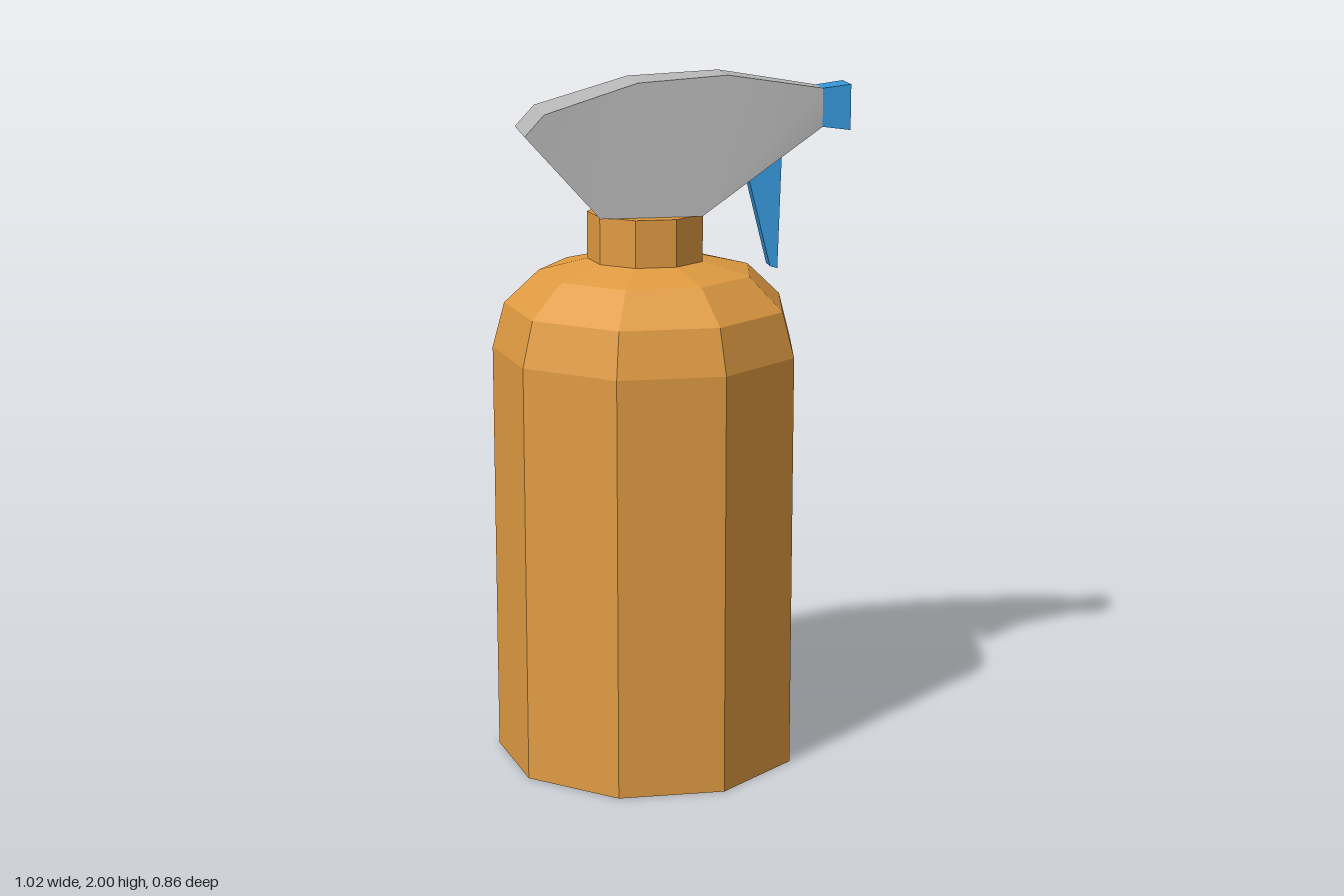
import * as THREE from 'three';
import { mergeGeometries } from 'three/addons/utils/BufferGeometryUtils.js';

const Z = 0.012; // centre plane of the whole sprayer in z

// Indexed or unshared triangles with computed normals
function surface(points, index) {
  const g = new THREE.BufferGeometry();
  g.setAttribute('position', new THREE.Float32BufferAttribute(points.flat(), 3));
  g.setIndex(index);
  return g;
}

// Tapered slab: counter-clockwise profile rows are [x, y, halfWidth, zShift]
function slab(profile, faces) {
  const at = (s) => profile.map(([x, y, w, dz = 0]) => [x, y, Z + dz + s * w]);
  const front = at(1), back = at(-1), n = profile.length;
  const sides = [
    surface(front, faces.flat()),
    surface(back, faces.flatMap(([a, b, c]) => [a, c, b])),
  ];
  const rimIndex = [];
  for (let i = 0; i < n; i++) {
    const j = (i + 1) % n;
    rimIndex.push(i, n + i, n + j, i, n + j, j);
  }
  const rim = surface([...front, ...back], rimIndex).toNonIndexed();
  const parts = [...sides, rim].map((g) => {
    g.computeVertexNormals(); // sides stay smooth, rim is faceted
    return g.index ? g.toNonIndexed() : g;
  });
  return mergeGeometries(parts);
}

export function createModel() {
  const group = new THREE.Group();
  const material = (name, color) => {
    const m = new THREE.MeshStandardMaterial({ color });
    m.name = name;
    return m;
  };
  const amber = material('amber', 0xe09b42);
  const grey = material('grey', 0xb8b8b8);
  const blue = material('blue', 0x3595d8);

  const add = (name, geometry, mat) => {
    const mesh = new THREE.Mesh(geometry, mat);
    mesh.name = name;
    group.add(mesh);
    return mesh;
  };

  // Nine-sided bottle with sloping shoulder and neck
  const outline = [
    [0, 0], [0.445, 0], [0.445, 1.215], [0.41, 1.345], [0.31, 1.44],
    [0.17, 1.475], [0.17, 1.61], [0, 1.61],
  ].map(([r, y]) => new THREE.Vector2(r, y));
  const bottle = new THREE.LatheGeometry(outline, 9, Math.PI).toNonIndexed();
  bottle.computeVertexNormals();
  add('bottle', bottle, amber).position.set(-0.07, 0, Z);

  // Spray head, narrowing toward the nozzle
  const head = slab([
    [-0.22, 1.61, 0.118], [0.07, 1.61, 0.118], [0.43, 1.845, 0.046], [0.43, 1.955, 0.046],
    [0.15, 2.0, 0.073], [-0.11, 1.985, 0.095], [-0.375, 1.905, 0.118], [-0.43, 1.845, 0.118],
  ], [[0, 6, 7], [0, 5, 6], [0, 1, 5], [1, 4, 5], [1, 3, 4], [1, 2, 3]]);
  add('sprayHead', head, grey);

  // Flared nozzle
  const nozzle = slab([
    [0.43, 1.845, 0.046], [0.51, 1.835, 0.053], [0.51, 1.965, 0.053], [0.43, 1.955, 0.046],
  ], [[0, 1, 2], [0, 2, 3]]);
  add('nozzle', nozzle, blue);

  // Tapered trigger, leaning slightly to one side
  const trigger = slab([
    [0.22, 1.705, 0.027], [0.284, 1.445, 0.027, 0.005], [0.304, 1.44, 0.034, 0.005], [0.315, 1.77, 0.034],
  ], [[0, 1, 2], [0, 2, 3]]);
  add('trigger', trigger, blue);

  return group;
}
